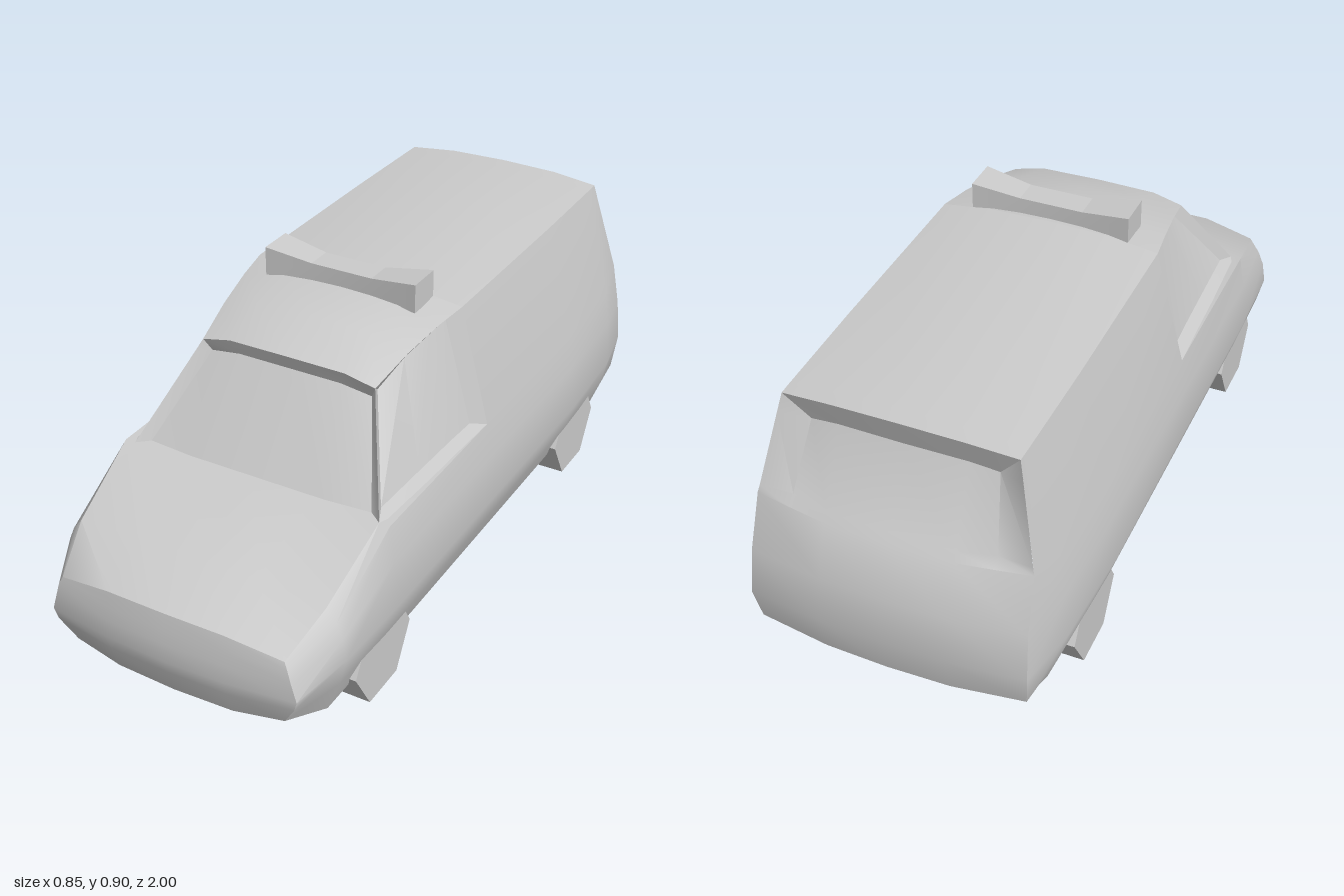
import * as THREE from 'three';
import { toCreasedNormals } from 'three/addons/utils/BufferGeometryUtils.js';

const material = new THREE.MeshStandardMaterial({ color: 0xcccccc });
const flip = ([x, y, z]) => [-x, y, z];

// Mirror a half row (centre outwards) into a full row from -x to +x
const span = half => [...half.slice(1).reverse().map(flip), ...half];

// Mirror a half section (bottom centre round to top centre) into a closed ring
const ring = half => [...half, ...half.slice(0, -1).reverse().map(flip)];

// Skin one or more grids of points and smooth them up to a crease angle
function skin(name, grids, crease = 0.6) {
  const pos = [];
  const same = (p, q) => p.every((v, i) => Math.abs(v - q[i]) < 1e-6);
  const tri = (a, b, c) => {
    if (!same(a, b) && !same(b, c) && !same(a, c)) pos.push(...a, ...b, ...c);
  };
  for (const rows of grids) {
    for (let i = 0; i < rows.length - 1; i++) {
      for (let j = 0; j < rows[i].length - 1; j++) {
        const a = rows[i][j], b = rows[i][j + 1], c = rows[i + 1][j + 1], d = rows[i + 1][j];
        tri(a, d, c);
        tri(a, c, b);
      }
    }
  }
  const geo = new THREE.BufferGeometry();
  geo.setAttribute('position', new THREE.Float32BufferAttribute(pos, 3));
  const mesh = new THREE.Mesh(toCreasedNormals(geo, crease), material);
  mesh.name = name;
  return mesh;
}

// Half cross-section of the body at one station
function section(z, bottom, wSill, wLow, wBelt, [wMid, yMid], [wSh, ySh], [wEdge, yEdge], yTop) {
  return [[0, bottom], [0.17, bottom], [wSill, bottom], [wLow, 0.17], [wBelt, 0.25], [wMid, yMid],
    [wSh, ySh], [wEdge, yEdge], [0.17, yTop - 0.004], [0, yTop]].map(([x, y]) => [x, y, z]);
}

// Outline of an end cap whose rows run from bottom to top
const capOutline = rows => [...rows[0], ...rows.slice(1, -1).map(r => r[2]), ...[...rows.at(-1)].reverse()];

function makeBody() {
  const nose = [
    [[0, 0.085, 0.965], [0.17, 0.087, 0.96], [0.31, 0.105, 0.945]],
    [[0, 0.16, 0.99], [0.17, 0.16, 0.985], [0.35, 0.17, 0.965]],
    [[0, 0.2, 1], [0.17, 0.2, 0.993], [0.36, 0.2, 0.968]],
    [[0, 0.25, 0.995], [0.17, 0.25, 0.99], [0.345, 0.25, 0.967]],
    [[0, 0.29, 0.99], [0.17, 0.29, 0.985], [0.335, 0.285, 0.965]],
    [[0, 0.332, 0.98], [0.17, 0.332, 0.978], [0.325, 0.305, 0.96]],
  ];
  const tail = [
    [[0, 0.075, -0.89], [0.17, 0.075, -0.89], [0.34, 0.08, -0.87]],
    [[0, 0.14, -0.98], [0.17, 0.14, -0.975], [0.365, 0.15, -0.955]],
    [[0, 0.25, -1], [0.17, 0.25, -0.997], [0.375, 0.25, -0.975]],
    [[0, 0.38, -0.985], [0.17, 0.38, -0.98], [0.37, 0.38, -0.955]],
    [[0, 0.52, -0.935], [0.17, 0.52, -0.93], [0.365, 0.53, -0.905]],
    [[0, 0.825, -0.85], [0.17, 0.822, -0.848], [0.305, 0.81, -0.84]],
  ];
  // Recessed rear window under the roof edge
  const rearWindow = [
    [[0, 0.52, -0.935], [0.17, 0.52, -0.93], [0.27, 0.525, -0.918], [0.365, 0.53, -0.905]],
    [[0, 0.54, -0.915], [0.17, 0.54, -0.912], [0.27, 0.55, -0.895], [0.36, 0.55, -0.9]],
    [[0, 0.745, -0.825], [0.17, 0.745, -0.823], [0.245, 0.735, -0.818], [0.317, 0.755, -0.852]],
    [[0, 0.825, -0.85], [0.17, 0.822, -0.848], [0.305, 0.81, -0.84], [0.305, 0.81, -0.84]],
  ];
  // Hood, cab deck, then the full-height cargo box
  const sections = [
    capOutline(nose),
    section(0.83, 0.078, 0.36, 0.395, 0.415, [0.405, 0.31], [0.388, 0.35], [0.36, 0.385], 0.405),
    section(0.585, 0.075, 0.36, 0.4, 0.423, [0.41, 0.38], [0.395, 0.48], [0.365, 0.48], 0.482),
    section(0.05, 0.075, 0.36, 0.4, 0.423, [0.41, 0.38], [0.395, 0.48], [0.365, 0.48], 0.482),
    section(0.05, 0.075, 0.36, 0.4, 0.423, [0.41, 0.38], [0.395, 0.48], [0.31, 0.81], 0.832),
    section(-0.5, 0.075, 0.36, 0.4, 0.425, [0.41, 0.38], [0.395, 0.48], [0.31, 0.81], 0.829),
    section(-0.8, 0.075, 0.355, 0.39, 0.41, [0.4, 0.38], [0.385, 0.49], [0.306, 0.81], 0.826),
    capOutline(tail),
  ];
  return skin('body', [
    sections.map(ring),
    [...nose].reverse().map(span),
    tail.slice(0, 5).map(span),
    rearWindow.map(span),
  ]);
}

function makeCab() {
  const cab = new THREE.Group();
  cab.name = 'cab';

  // Roof, from the cargo box forward to the lip over the windshield
  const roof = [
    [[0, 0.832, 0.05], [0.17, 0.828, 0.05], [0.31, 0.81, 0.05]],
    [[0, 0.828, 0.15], [0.17, 0.823, 0.15], [0.295, 0.8, 0.15]],
    [[0, 0.808, 0.28], [0.17, 0.803, 0.28], [0.275, 0.775, 0.28]],
    [[0, 0.757, 0.415], [0.17, 0.755, 0.413], [0.255, 0.735, 0.41]],
  ];
  cab.add(skin('cabRoof', [roof.map(span)]));

  // Windshield set back between the front pillars
  const windshield = [
    [[0, 0.757, 0.415], [0.17, 0.755, 0.413], [0.255, 0.735, 0.41], [0.255, 0.735, 0.41]],
    [[0, 0.715, 0.4], [0.15, 0.715, 0.4], [0.238, 0.7, 0.395], [0.27, 0.7, 0.434]],
    [[0, 0.483, 0.57], [0.2, 0.483, 0.57], [0.33, 0.483, 0.56], [0.365, 0.48, 0.585]],
  ];
  cab.add(skin('windshield', [windshield.map(span)], 0.4));

  // Side window: roof edge, glass top, glass bottom, sill, listed front to back
  const side = [
    [[0.255, 0.735, 0.41], [0.255, 0.735, 0.41], [0.365, 0.48, 0.585], [0.365, 0.48, 0.585]],
    [[0.255, 0.735, 0.41], [0.245, 0.715, 0.38], [0.345, 0.49, 0.54], [0.375, 0.48, 0.56]],
    [[0.275, 0.775, 0.28], [0.26, 0.755, 0.27], [0.35, 0.49, 0.35], [0.385, 0.48, 0.35]],
    [[0.295, 0.8, 0.15], [0.27, 0.78, 0.15], [0.355, 0.49, 0.18], [0.39, 0.48, 0.18]],
    [[0.31, 0.81, 0.05], [0.278, 0.79, 0.085], [0.36, 0.49, 0.085], [0.395, 0.48, 0.05]],
    [[0.31, 0.81, 0.05], [0.31, 0.81, 0.05], [0.395, 0.48, 0.05], [0.395, 0.48, 0.05]],
  ];
  cab.add(skin('leftSideWindow', [[...side].reverse()], 0.4));
  cab.add(skin('rightSideWindow', [side.map(r => r.map(flip))], 0.4));
  return cab;
}

// Roof light bar, lower and slimmer in the middle
function makeLightBar() {
  const geo = new THREE.BoxGeometry(0.45, 0.08, 0.1, 3, 1, 1);
  const p = geo.attributes.position;
  for (let i = 0; i < p.count; i++) {
    const x = p.getX(i), y = p.getY(i);
    if (Math.abs(x) < 0.1) {
      p.setXYZ(i, Math.sign(x) * 0.09, y > 0 ? y - 0.02 : y, p.getZ(i) * 0.75);
    }
  }
  const mesh = new THREE.Mesh(toCreasedNormals(geo, 0.1), material);
  mesh.name = 'lightBar';
  mesh.position.set(0, 0.855, 0.1);
  return mesh;
}

export function createModel() {
  const model = new THREE.Group();
  model.name = 'van';
  model.add(makeBody(), makeCab(), makeLightBar());

  // Six-sided wheels standing on a flat
  const wheelGeo = toCreasedNormals(new THREE.CylinderGeometry(0.139, 0.139, 0.16, 6).rotateZ(Math.PI / 2), 0.3);
  wheelGeo.computeBoundingBox();
  const { min, max } = wheelGeo.boundingBox;
  if (max.y - min.y > max.z - min.z) wheelGeo.rotateX(Math.PI / 6);
  for (const [end, z] of [['front', 0.615], ['rear', -0.585]]) {
    for (const [side, s] of [['Left', 1], ['Right', -1]]) {
      const wheel = new THREE.Mesh(wheelGeo, material);
      wheel.name = `${end}${side}Wheel`;
      wheel.position.set(s * 0.316, 0.12, z);
      model.add(wheel);
    }
  }
  return model;
}
